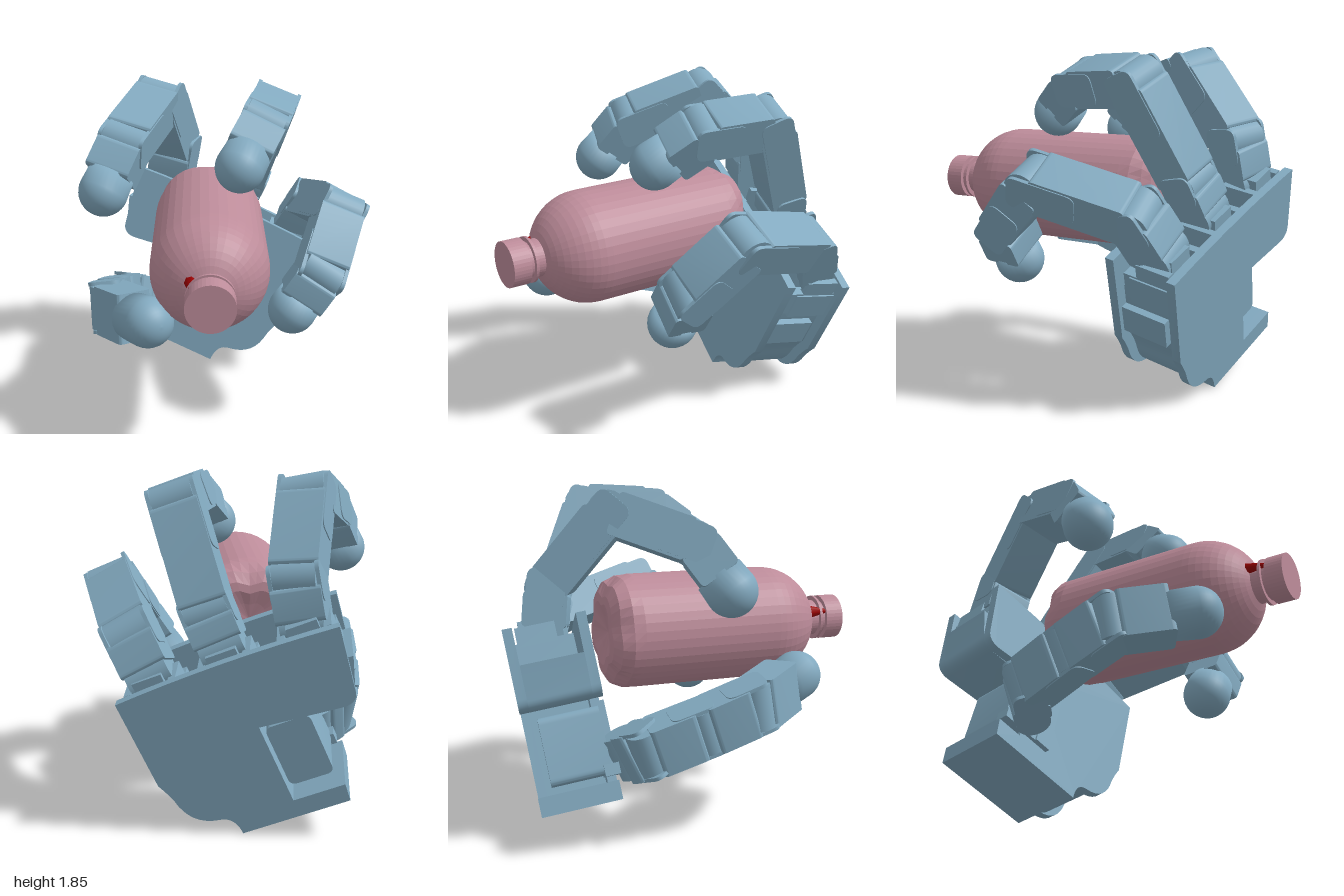
import * as THREE from 'three';
import { toCreasedNormals } from 'three/addons/utils/BufferGeometryUtils.js';

const V = (x, y, z) => new THREE.Vector3(x, y, z);
const blue = new THREE.MeshStandardMaterial({ color: 0x82a9bf });
const pink = new THREE.MeshStandardMaterial({ color: 0xbd8c9a, flatShading: true });
const red = new THREE.MeshStandardMaterial({ color: 0x990000 });

function add(parent, name, geometry, material = blue) {
  const mesh = new THREE.Mesh(geometry, material);
  mesh.name = name;
  parent.add(mesh);
  return mesh;
}

// Box given by its limits on each axis
function block(parent, name, [x0, x1], [y0, y1], [z0, z1]) {
  const m = add(parent, name, new THREE.BoxGeometry(x1 - x0, y1 - y0, z1 - z0));
  m.position.set((x0 + x1) / 2, (y0 + y1) / 2, (z0 + z1) / 2);
}

function extrude(shape, depth, z) {
  const g = new THREE.ExtrudeGeometry(shape, { depth, bevelEnabled: false, curveSegments: 8 });
  g.translate(0, 0, z);
  return toCreasedNormals(g, 0.6);
}

function roundedRect(x0, x1, y0, y1, r) {
  const s = new THREE.Shape();
  s.moveTo(x0 + r, y0);
  s.lineTo(x1 - r, y0);
  s.quadraticCurveTo(x1, y0, x1, y0 + r);
  s.lineTo(x1, y1 - r);
  s.quadraticCurveTo(x1, y1, x1 - r, y1);
  s.lineTo(x0 + r, y1);
  s.quadraticCurveTo(x0, y1, x0, y1 - r);
  s.lineTo(x0, y0 + r);
  s.quadraticCurveTo(x0, y0, x0 + r, y0);
  return s;
}

// One finger link: local x runs along the bone, local z along the hinge
function link(parent, name, p, q, hinge, w, t, isTip) {
  const g = new THREE.Group();
  g.name = name;
  const d = q.clone().sub(p);
  const L = d.length();
  d.normalize();
  const s = hinge.clone().addScaledVector(d, -hinge.dot(d)).normalize();
  const up = s.clone().cross(d);
  new THREE.Matrix4().makeBasis(d, up, s).setPosition(p).decompose(g.position, g.quaternion, g.scale);

  const pin = new THREE.CylinderGeometry(t * 0.46, t * 0.46, w * 0.86, 24);
  add(g, 'hingePin', pin.rotateX(Math.PI / 2));

  const end = isTip ? L * 0.7 : L - 0.03;
  add(g, 'linkBody', extrude(roundedRect(0.03, end, -t / 2, t / 2, 0.025), w * 0.96, -w * 0.48));
  if (isTip) {
    const r = 0.135;
    const dome = [new THREE.Vector2(0, L * 0.65), new THREE.Vector2(r * 0.95, L * 0.65)];
    for (let i = 0; i <= 10; i++) {
      const a = i / 10 * Math.PI / 2;
      dome.push(new THREE.Vector2(r * Math.cos(a), L + r * Math.sin(a)));
    }
    add(g, 'fingertip', new THREE.LatheGeometry(dome, 32).rotateZ(-Math.PI / 2));
  } else {
    // Side cheeks that fork around the next hinge
    for (const side of [-1, 1]) {
      const cheek = roundedRect(L * 0.5, L + t * 0.4, -t * 0.44, t * 0.44, 0.05);
      add(g, 'hingeCheek', extrude(cheek, 0.02, side * (w / 2 - 0.01) - 0.01));
    }
  }
  parent.add(g);
}

function finger(parent, name, points, hinge, w, t) {
  const g = new THREE.Group();
  g.name = name;
  for (let i = 0; i < points.length - 1; i++) {
    const isTip = i === points.length - 2;
    link(g, isTip ? 'tipLink' : 'link' + i, points[i], points[i + 1], hinge, w, t, isTip);
  }
  parent.add(g);
}

// Palm outline with the thumb notch on one side and a curved heel on the other
function palmShape(right, top, notch) {
  const s = new THREE.Shape();
  s.moveTo(-0.59, 0);
  s.lineTo(0, 0);
  s.quadraticCurveTo(0.0, 0.11, 0.08, 0.12);
  s.quadraticCurveTo(right - 0.06, 0.14, right - 0.04, 0.31);
  s.quadraticCurveTo(right - 0.02, 0.38, right, 0.42);
  s.lineTo(right, top);
  s.quadraticCurveTo(-0.3, top + 0.04, -0.88, top);
  s.lineTo(-0.83, 0.58);
  s.quadraticCurveTo(-0.82, 0.52, -0.75, 0.52);
  s.lineTo(notch, 0.56);
  s.lineTo(notch, 0.1);
  s.lineTo(-0.6, 0.1);
  s.closePath();
  return s;
}

function buildPalm(parent, u, v, n) {
  const palm = new THREE.Group();
  palm.name = 'palm';
  new THREE.Matrix4().makeBasis(u, v, n).setPosition(-0.04, 0, -0.75)
    .decompose(palm.position, palm.quaternion, palm.scale);
  add(palm, 'backPlate', extrude(palmShape(0.295, 0.93, -0.32), 0.05, 0));
  add(palm, 'palmCore', extrude(palmShape(0.23, 0.74, -0.32), 0.32, 0.05));
  add(palm, 'frontPlate', extrude(palmShape(0.295, 0.94, -0.45), 0.05, 0.37));

  // Thumb motor in the notch, with its mounting rails
  add(palm, 'thumbMotor', extrude(roundedRect(-0.56, -0.32, 0.14, 0.5, 0.04), 0.32, 0.08));
  block(palm, 'thumbRail', [-0.36, -0.26], [0.13, 0.54], [0.4, 0.45]);
  block(palm, 'thumbRail', [-0.58, -0.36], [0.13, 0.19], [0.36, 0.44]);

  // Stepped knuckle mounts along the top edge
  for (const a of [-0.7, -0.28, 0.12]) {
    block(palm, 'knuckleMount', [a - 0.14, a + 0.14], [0.7, 0.85], [0.05, 0.34]);
    block(palm, 'knuckleBlock', [a - 0.08, a + 0.08], [0.83, 0.97], [0.08, 0.32]);
    for (const side of [-1, 1]) {
      block(palm, 'knuckleEar', [a + side * 0.12 - 0.02, a + side * 0.12 + 0.02], [0.83, 0.93], [0.06, 0.26]);
    }
  }
  // Side panels on the outer edge
  block(palm, 'sidePanel', [0.2, 0.27], [0.46, 0.62], [0.1, 0.37]);
  block(palm, 'sidePanel', [0.2, 0.27], [0.68, 0.84], [0.05, 0.3]);
  parent.add(palm);
}

function buildBottle(parent) {
  const bottle = new THREE.Group();
  bottle.name = 'bottle';
  bottle.position.set(-0.1, 1.05, 0);
  const R = 0.31;
  const pts = [[0, -0.37], [0.1, -0.39], [0.18, -0.41], [0.23, -0.405], [0.285, -0.37], [R, -0.31], [R, -0.25]];
  for (let i = 0; i <= 10; i++) {
    const a = i / 10 * 1.23;
    pts.push([R * Math.cos(a), 0.52 + R * Math.sin(a)]);
  }
  pts.push([0.1, 0.86], [0.125, 0.86], [0.125, 0.875], [0.1, 0.875], [0.1, 0.9], [0.125, 0.9], [0.125, 1], [0, 1]);
  const geo = new THREE.LatheGeometry(pts.map(([r, y]) => new THREE.Vector2(r, y)), 40);
  // Five feet pressed into the base
  const pos = geo.attributes.position;
  for (let i = 0; i < pos.count; i++) {
    const k = THREE.MathUtils.clamp((-0.28 - pos.getY(i)) / 0.13, 0, 1);
    const lobe = Math.pow(0.5 - 0.5 * Math.cos(5 * Math.atan2(pos.getX(i), pos.getZ(i))), 2);
    const f = 1 - 0.18 * k * lobe;
    pos.setXYZ(i, pos.getX(i) * f, pos.getY(i), pos.getZ(i) * f);
  }
  geo.rotateX(Math.PI / 2);
  add(bottle, 'bottleBody', geo, pink);
  // Small red marker beside the neck
  const marker = add(bottle, 'marker', new THREE.CylinderGeometry(0.012, 0.045, 0.13, 8).rotateX(Math.PI / 2), red);
  marker.position.set(-0.09, 0.05, 0.835);
  parent.add(bottle);
}

export function createModel() {
  const model = new THREE.Group();
  model.name = 'robotHandWithBottle';
  const n = V(-0.138, 0.168, 0.976).normalize();
  const u = V(0.905, -0.378, 0.193);
  u.addScaledVector(n, -u.dot(n)).normalize();
  const v = n.clone().cross(u);
  buildPalm(model, u, v, n);

  finger(model, 'indexFinger', [V(-0.34, 1.12, -0.77), V(-0.3, 1.35, -0.74), V(-0.38, 1.72, -0.44),
    V(-0.55, 1.57, -0.04), V(-0.67, 1.34, 0.11)], V(0.93, -0.2, 0.3), 0.26, 0.22);
  finger(model, 'middleFinger', [V(0.06, 1.0, -0.7), V(0.13, 1.17, -0.65), V(0.28, 1.69, -0.41),
    V(0.2, 1.67, -0.04), V(0.065, 1.49, 0.18)], V(0.93, -0.35, 0.15), 0.26, 0.21);
  finger(model, 'outerFinger', [V(0.42, 0.84, -0.63), V(0.52, 1.04, -0.54), V(0.625, 1.19, 0),
    V(0.5, 0.92, 0.26), V(0.355, 0.7, 0.26)], V(0.88, -0.45, 0.1), 0.26, 0.22);
  finger(model, 'thumb', [V(-0.47, 0.48, -0.38), V(-0.6, 0.53, -0.31), V(-0.64, 0.63, -0.02),
    V(-0.66, 0.73, 0.26), V(-0.42, 0.8, 0.61)], V(-0.1, 0.95, -0.28), 0.28, 0.2);

  buildBottle(model);
  return model;
}
